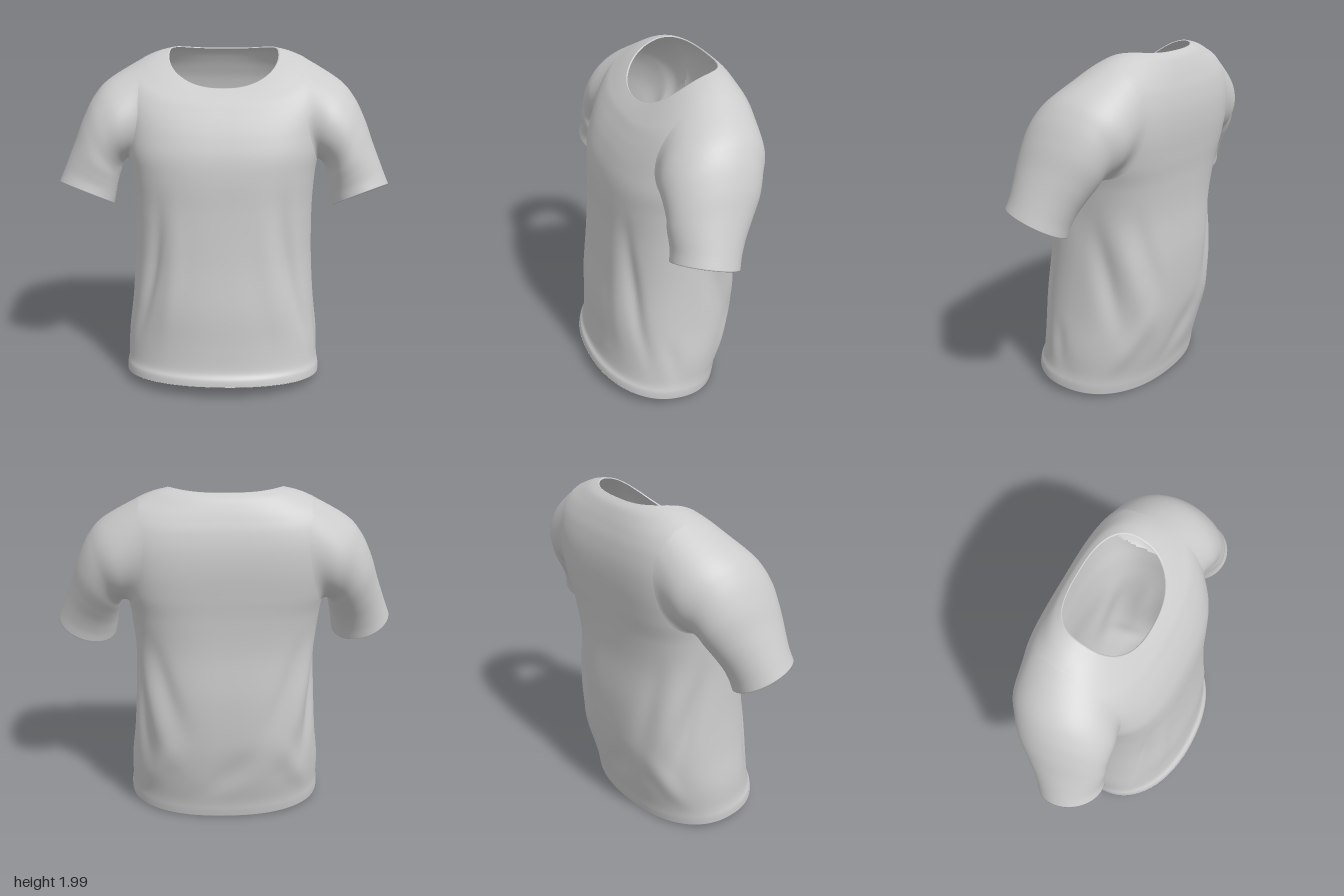
import * as THREE from 'three';

const fabric = new THREE.MeshStandardMaterial({ color: 0xcccccc, side: THREE.DoubleSide });
fabric.name = 'light grey fabric';

const SEGMENTS = 144;
const BODY_STEPS = 8;

// Smooth interpolation of key rows at fractional position k
function rowAt(keys, k) {
  const last = keys.length - 1;
  const i = Math.min(Math.floor(k), last - 1), t = k - i;
  const [p, a, b, n] = [keys[Math.max(i - 1, 0)], keys[i], keys[i + 1], keys[Math.min(i + 2, last)]];
  return a.map((_, c) => 0.5 * (2 * a[c] + (b[c] - p[c]) * t
    + (2 * p[c] - 5 * a[c] + 4 * b[c] - n[c]) * t * t
    + (3 * a[c] - p[c] - 3 * b[c] + n[c]) * t * t * t));
}

// Closed-ring skin: point(row, angle) gives [x, y, z]; isHole(row, angle) leaves faces out
function loft(name, rowCount, point, flip, isHole = () => false) {
  const positions = [], index = [];
  for (let r = 0; r < rowCount; r++) {
    for (let s = 0; s < SEGMENTS; s++) {
      const angle = (s / SEGMENTS) * Math.PI * 2;
      positions.push(...point(r, angle));
      if (r === rowCount - 1 || isHole(r, angle)) continue;
      const a = r * SEGMENTS + s, b = r * SEGMENTS + (s + 1) % SEGMENTS;
      const c = a + SEGMENTS, d = b + SEGMENTS;
      if (flip) index.push(a, c, b, b, c, d);
      else index.push(a, b, c, b, d, c);
    }
  }
  const geometry = new THREE.BufferGeometry();
  geometry.setAttribute('position', new THREE.Float32BufferAttribute(positions, 3));
  geometry.setIndex(index);
  geometry.computeVertexNormals();
  const mesh = new THREE.Mesh(geometry, fabric);
  mesh.name = name;
  return mesh;
}

// Body rings: half width, side y, front y, front z, back y, back z, front and back squareness
const bodyKeys = [
  [0.59, 0.045, 0.088, 0.458, 0.008, -0.325, 2.15, 2.3],
  [0.59, 0.09, 0.125, 0.45, 0.05, -0.333, 2.15, 2.3],
  [0.582, 0.15, 0.17, 0.424, 0.12, -0.345, 2.2, 2.3],
  [0.578, 0.30, 0.31, 0.412, 0.28, -0.385, 2.2, 2.3],
  [0.552, 0.52, 0.52, 0.402, 0.52, -0.420, 2.3, 2.5],
  [0.535, 0.80, 0.80, 0.372, 0.80, -0.434, 2.35, 2.6],
  [0.533, 1.08, 1.08, 0.352, 1.08, -0.424, 2.5, 2.8],
  [0.545, 1.28, 1.28, 0.343, 1.28, -0.432, 2.7, 3.2],
  [0.565, 1.42, 1.41, 0.325, 1.42, -0.446, 2.9, 3.7],
  [0.578, 1.56, 1.52, 0.288, 1.56, -0.457, 3, 4],
  [0.588, 1.70, 1.60, 0.25, 1.68, -0.454, 3, 4],
  [0.585, 1.81, 1.66, 0.215, 1.78, -0.436, 2.9, 3.7],
  [0.55, 1.882, 1.70, 0.19, 1.85, -0.412, 2.7, 3.3],
  [0.475, 1.923, 1.73, 0.165, 1.905, -0.388, 2.5, 2.9],
  [0.40, 1.95, 1.757, 0.14, 1.952, -0.36, 2.4, 2.7],
  [0.325, 1.965, 1.785, 0.112, 1.98, -0.325, 2.4, 2.7],
];

// Drape folds: start angle, start y, end angle, end y, width in degrees, height
const folds = [
  [58, 1.35, 22, 0.12, 6, -0.026], [70, 1.35, 48, 0.12, 8, 0.012],
  [125, 1.3, 155, 0.15, 6, -0.022], [112, 1.3, 128, 0.12, 7, 0.012],
  [-5, 1.25, -48, 0.25, 9, -0.03], [185, 1.25, 228, 0.25, 9, -0.03],
  [-28, 1.2, -75, 0.2, 9, 0.016], [208, 1.2, 255, 0.2, 9, 0.016],
  [-45, 1.25, -75, 0.45, 8, -0.016], [225, 1.25, 255, 0.45, 8, -0.016],
  [-58, 0.6, -35, 0.1, 9, 0.016], [238, 0.6, 215, 0.1, 9, 0.016],
  [-100, 0.55, -78, 0.1, 8, -0.015], [12, 0.5, 2, 0.1, 6, -0.012],
];

function foldHeight(degrees, y) {
  let height = 0;
  for (const [t0, y0, t1, y1, width, amount] of folds) {
    const u = (y0 - y) / (y0 - y1);
    if (u <= 0 || u >= 1) continue;
    let d = degrees - (t0 + (t1 - t0) * u * (0.5 + 0.5 * u));
    d -= 360 * Math.round(d / 360);
    height += amount * Math.sin(Math.PI * u) ** 2 * Math.exp(-((d / width) ** 2));
  }
  return height;
}

function bodyPoint([w, ySide, yFront, zFront, yBack, zBack, nFront, nBack], t) {
  const c = Math.cos(t), s = Math.sin(t);
  const power = 2 / (s > 0 ? nFront : nBack);
  const px = Math.sign(c) * Math.abs(c) ** power;
  const pz = Math.sign(s) * Math.abs(s) ** power;
  const y = ySide + ((yFront - yBack) / 2) * pz + ((yFront + yBack) / 2 - ySide) * pz * pz;
  const fold = foldHeight(t * 180 / Math.PI, y);
  return [px * w + c * fold, y, (zFront + zBack) / 2 + pz * (zFront - zBack) / 2 + s * fold];
}

// Armhole: an ellipse in body coordinates (ring position, angle)
const armhole = { ring: 10.3, ringRadius: 2.85, angle: -0.113, angleRadius: 0.846 };

function armholePoint(a, scale) {
  const k = armhole.ring + armhole.ringRadius * scale * Math.cos(a);
  return bodyPoint(rowAt(bodyKeys, k), armhole.angle + armhole.angleRadius * scale * Math.sin(a));
}

function insideArmhole(k, t) {
  const side = Math.atan2(Math.sin(t), Math.abs(Math.cos(t)));
  return Math.hypot((k - armhole.ring) / armhole.ringRadius, (side - armhole.angle) / armhole.angleRadius) < 0.9;
}

// Sleeve rings: outer xyz, inner xyz, half-depth y and z, inward bow of front and back
const sleeveKeys = [
  [0.675, 1.818, -0.13, 0.59, 1.335, -0.075, 0.00, 0.297, 0.04],
  [0.768, 1.72, -0.11, 0.607, 1.308, -0.04, 0.01, 0.272, 0.01],
  [0.835, 1.59, -0.09, 0.616, 1.275, -0.02, 0.02, 0.25, 0],
  [0.882, 1.46, -0.06, 0.626, 1.235, 0.01, 0.033, 0.223, 0],
  [0.92, 1.36, -0.035, 0.635, 1.19, 0.03, 0.044, 0.197, 0],
  [0.955, 1.27, -0.015, 0.643, 1.14, 0.042, 0.052, 0.18, 0],
  [0.982, 1.205, 0.0, 0.652, 1.09, 0.052, 0.055, 0.178, 0],
];

function sleeveRing([ox, oy, oz, ix, iy, iz, vy, vz, bow], t) {
  const c = Math.cos(t), s = Math.sin(t);
  return [
    (ox + ix) / 2 + (c * (ox - ix)) / 2 - bow * s * s,
    (oy + iy) / 2 + (c * (oy - iy)) / 2 + vy * s,
    (oz + iz) / 2 + (c * (oz - iz)) / 2 + vz * s,
  ];
}

// Each lengthwise line leaves the body surface at the armhole and follows the rings
function sleevePoint(k, t) {
  const line = [armholePoint(t, 1.22), armholePoint(t, 1), ...sleeveKeys.map((key) => sleeveRing(key, t))];
  return rowAt(line, 1 + k);
}

export function createModel() {
  const shirt = new THREE.Group();
  shirt.name = 'tShirt';

  // Body with a turned-in hem and neckline edge, open at the armholes
  const hemTurn = [0.582, 0.052, 0.095, 0.448, 0.015, -0.317, 2.15, 2.3];
  const neckTurn = [0.32, 1.96, 1.778, 0.107, 1.975, -0.322, 2.4, 2.7];
  const bodyRows = [hemTurn];
  const lastStep = (bodyKeys.length - 1) * BODY_STEPS;
  for (let i = 0; i <= lastStep; i++) bodyRows.push(rowAt(bodyKeys, i / BODY_STEPS));
  bodyRows.push(neckTurn);
  shirt.add(loft('body', bodyRows.length, (r, t) => bodyPoint(bodyRows[r], t), true,
    (r, t) => insideArmhole((r - 1) / BODY_STEPS, t)));

  // Mirrored sleeves with turned-in cuffs
  const cuffTurn = [0.975, 1.21, 0.0, 0.659, 1.1, 0.052, 0.053, 0.171, 0];
  const sleeveSteps = 8, sleeveEnd = sleeveKeys.length * sleeveSteps;
  for (const [name, side] of [['leftSleeve', 1], ['rightSleeve', -1]]) {
    const point = (r, t) => {
      const [x, y, z] = r > sleeveEnd ? sleeveRing(cuffTurn, t) : sleevePoint(r / sleeveSteps, t);
      return [x * side, y, z];
    };
    shirt.add(loft(name, sleeveEnd + 2, point, side < 0));
  }
  return shirt;
}
